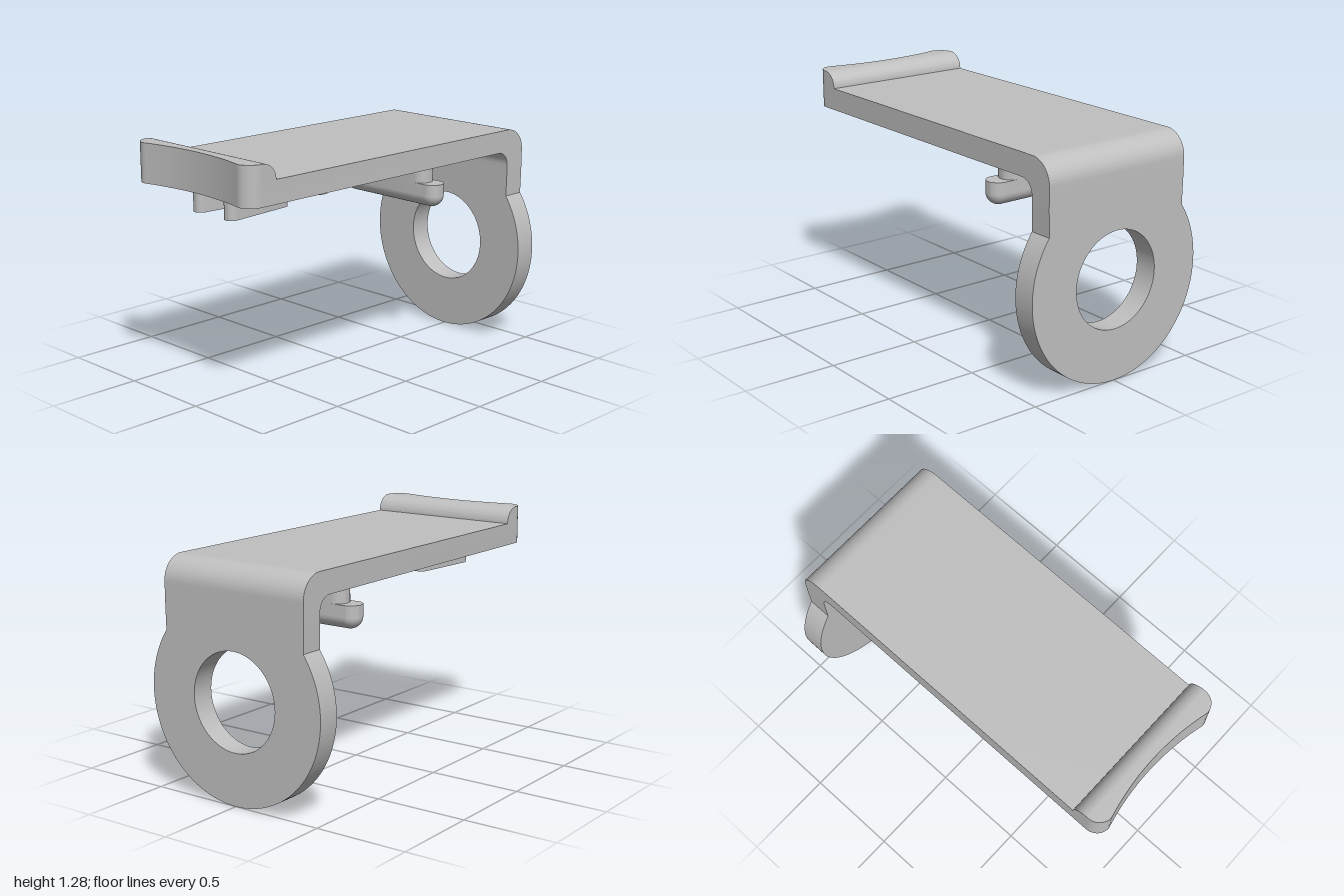
import * as THREE from 'three';
import { toCreasedNormals } from 'three/addons/utils/BufferGeometryUtils.js';

const HALF = 0.43, UNDER = 1.08, TOP = 1.2;

// Plan outline of the grip end: hollow in the middle, rounded at the corners
function endX(z) {
  const a = Math.abs(z);
  if (a < 0.355) return -0.955 - 0.045 * (a / 0.355) ** 2;
  return -0.92 - Math.sqrt(Math.max(0, 0.0064 - (a - 0.35) ** 2));
}

// Side profile with lip and bend, swept across the width
function plateGeometry() {
  const s = new THREE.Shape();
  s.moveTo(-1, UNDER);
  s.lineTo(0.8, UNDER);
  s.absarc(0.8, 1.005, 0.075, Math.PI / 2, 0, true);
  s.lineTo(0.875, 0.98);
  s.lineTo(1, 0.98);
  s.lineTo(1, 1.075);
  s.absarc(0.875, 1.075, 0.125, 0, Math.PI / 2, false);
  s.lineTo(-0.83, TOP);
  s.absarc(-0.915, TOP, 0.085, 0, Math.PI / 2, false);
  s.lineTo(-1, 1.285);
  const g = new THREE.ExtrudeGeometry(s, { depth: 2, steps: 56, curveSegments: 16, bevelEnabled: false });
  const p = g.attributes.position;
  for (let i = 0; i < p.count; i++) {
    const z = HALF * Math.sin((p.getZ(i) - 1) * Math.PI / 2);
    p.setZ(i, z);
    if (p.getX(i) < -0.99) p.setX(i, endX(z));
  }
  return toCreasedNormals(g, 0.5);
}

// Neck and round eye, extruded along x
function ringGeometry() {
  const r = 0.525, a = Math.asin(0.305 / r);
  const s = new THREE.Shape();
  s.moveTo(HALF, 0.98);
  s.lineTo(-HALF, 0.98);
  s.absarc(0, r, r, Math.PI - a, 2 * Math.PI + a, false);
  const hole = new THREE.Path();
  hole.absarc(0, 0.528, 0.254, 0, Math.PI * 2, true);
  s.holes.push(hole);
  const g = new THREE.ExtrudeGeometry(s, { depth: 0.125, curveSegments: 64, bevelEnabled: false });
  return toCreasedNormals(g.rotateY(Math.PI / 2), 0.5);
}

// Upright block with a pill-shaped plan, long along z
function pillGeometry(r, half, height) {
  const s = new THREE.Shape();
  s.absarc(0, half, r, 0, Math.PI, false);
  s.absarc(0, -half, r, Math.PI, Math.PI * 2, false);
  const g = new THREE.ExtrudeGeometry(s, { depth: height, curveSegments: 20, bevelEnabled: false });
  return toCreasedNormals(g.rotateX(-Math.PI / 2), 0.5);
}

export function createModel() {
  const group = new THREE.Group();
  const grey = new THREE.MeshStandardMaterial({ color: 0xbfbfbf });
  grey.name = 'grey';
  const add = (name, geometry, x = 0, y = 0, z = 0) => {
    const m = new THREE.Mesh(geometry, grey);
    m.name = name;
    m.position.set(x, y, z);
    group.add(m);
    return m;
  };

  add('bentPlate', plateGeometry());
  add('ringPlate', ringGeometry(), 0.875);

  // Splayed ribs under the grip end
  for (const side of [-1, 1]) {
    const rib = add(side > 0 ? 'frontRib' : 'backRib', pillGeometry(0.0375, 0.173, 0.13), -0.665, 0.953, side * 0.1);
    rib.rotation.y = -side * (Math.PI / 2 - 0.09);
  }

  // Round locating peg
  add('peg', new THREE.CylinderGeometry(0.0625, 0.0625, 0.13, 40), -0.16, 1.018, 0);

  // Hanging latch: short stem carrying a longer bar with a rounded underside
  add('latchStem', pillGeometry(0.0625, 0.2, 0.13), 0.43, 0.953, 0);
  add('latchBar', pillGeometry(0.0625, 0.28, 0.063), 0.43, 0.89, 0);
  const round = new THREE.CapsuleGeometry(0.0625, 0.56, 12, 40).rotateX(Math.PI / 2);
  add('latchRoundedUnderside', round, 0.43, 0.89, 0);

  return group;
}
